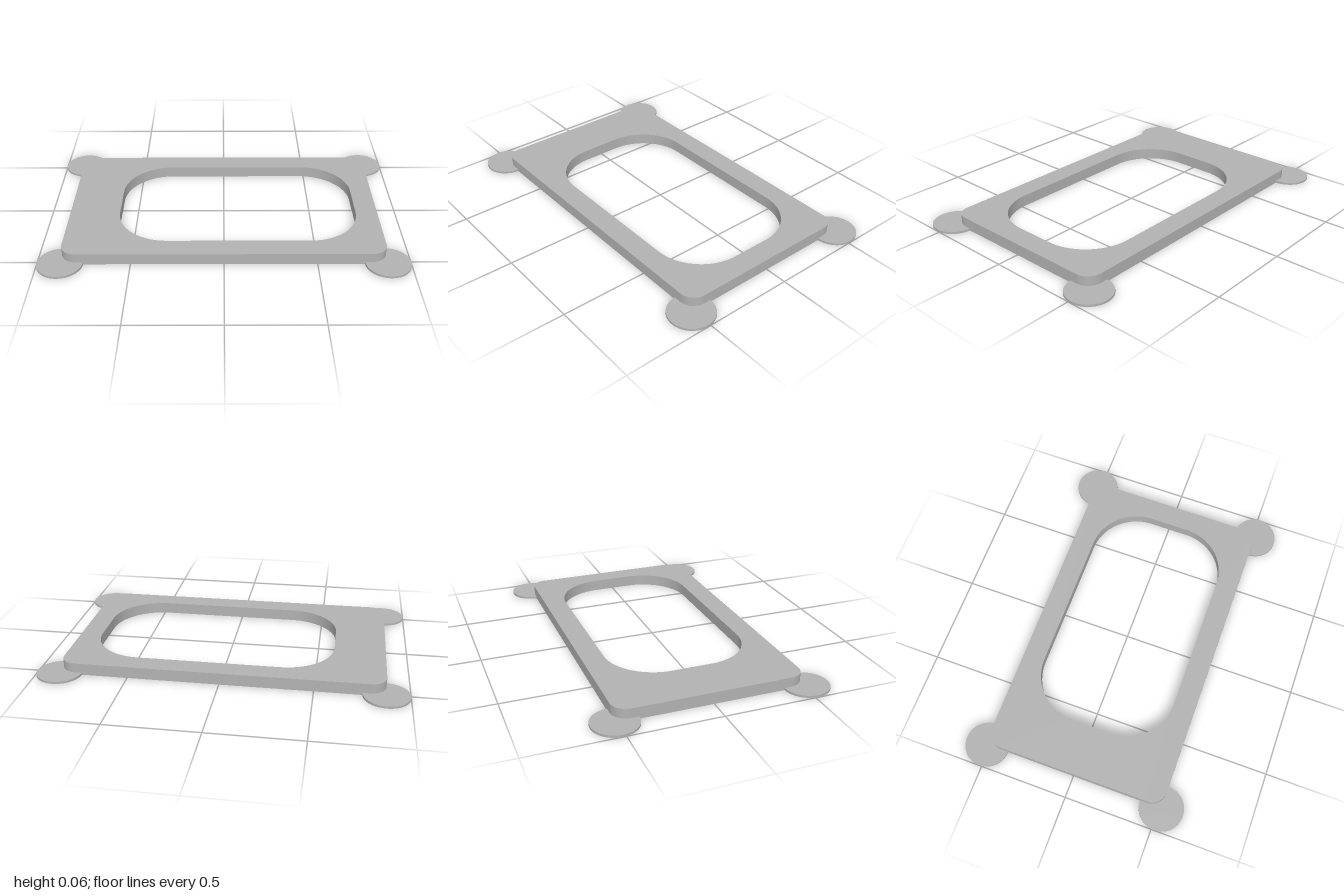
import * as THREE from 'three';

const HEIGHT = 0.065, PAD_HEIGHT = 0.012;

// Trace a rounded rectangle onto a shape or path
function roundedRect(path, x0, x1, y0, y1, r) {
  path.moveTo(x0 + r, y0);
  path.lineTo(x1 - r, y0);
  path.absarc(x1 - r, y0 + r, r, -Math.PI / 2, 0);
  path.lineTo(x1, y1 - r);
  path.absarc(x1 - r, y1 - r, r, 0, Math.PI / 2);
  path.lineTo(x0 + r, y1);
  path.absarc(x0 + r, y1 - r, r, Math.PI / 2, Math.PI);
  path.lineTo(x0, y0 + r);
  path.absarc(x0 + r, y0 + r, r, Math.PI, Math.PI * 1.5);
  return path;
}

export function createModel() {
  const group = new THREE.Group();
  const grey = new THREE.MeshStandardMaterial({ color: 0xb2b2b2 });
  grey.name = 'grey';

  // Flat frame with an off-centre rounded window
  const outline = roundedRect(new THREE.Shape(), -0.876, 0.876, -0.516, 0.516, 0.085);
  outline.holes.push(roundedRect(new THREE.Path(), -0.593, 0.753, -0.393, 0.393, 0.28));
  const frameGeometry = new THREE.ExtrudeGeometry(outline, {
    depth: HEIGHT, bevelEnabled: false, curveSegments: 24,
  });
  frameGeometry.rotateX(-Math.PI / 2);
  const frame = new THREE.Mesh(frameGeometry, grey);
  frame.name = 'frame';
  group.add(frame);

  // Thin round pads under the four corners
  const padGeometry = new THREE.CylinderGeometry(0.124, 0.124, PAD_HEIGHT, 64);
  for (const sx of [-1, 1]) {
    for (const sz of [-1, 1]) {
      const pad = new THREE.Mesh(padGeometry, grey);
      pad.name = `${sz > 0 ? 'front' : 'back'}${sx > 0 ? 'Left' : 'Right'}Pad`;
      pad.position.set(sx * 0.876, PAD_HEIGHT / 2, sz * 0.516);
      group.add(pad);
    }
  }
  return group;
}
